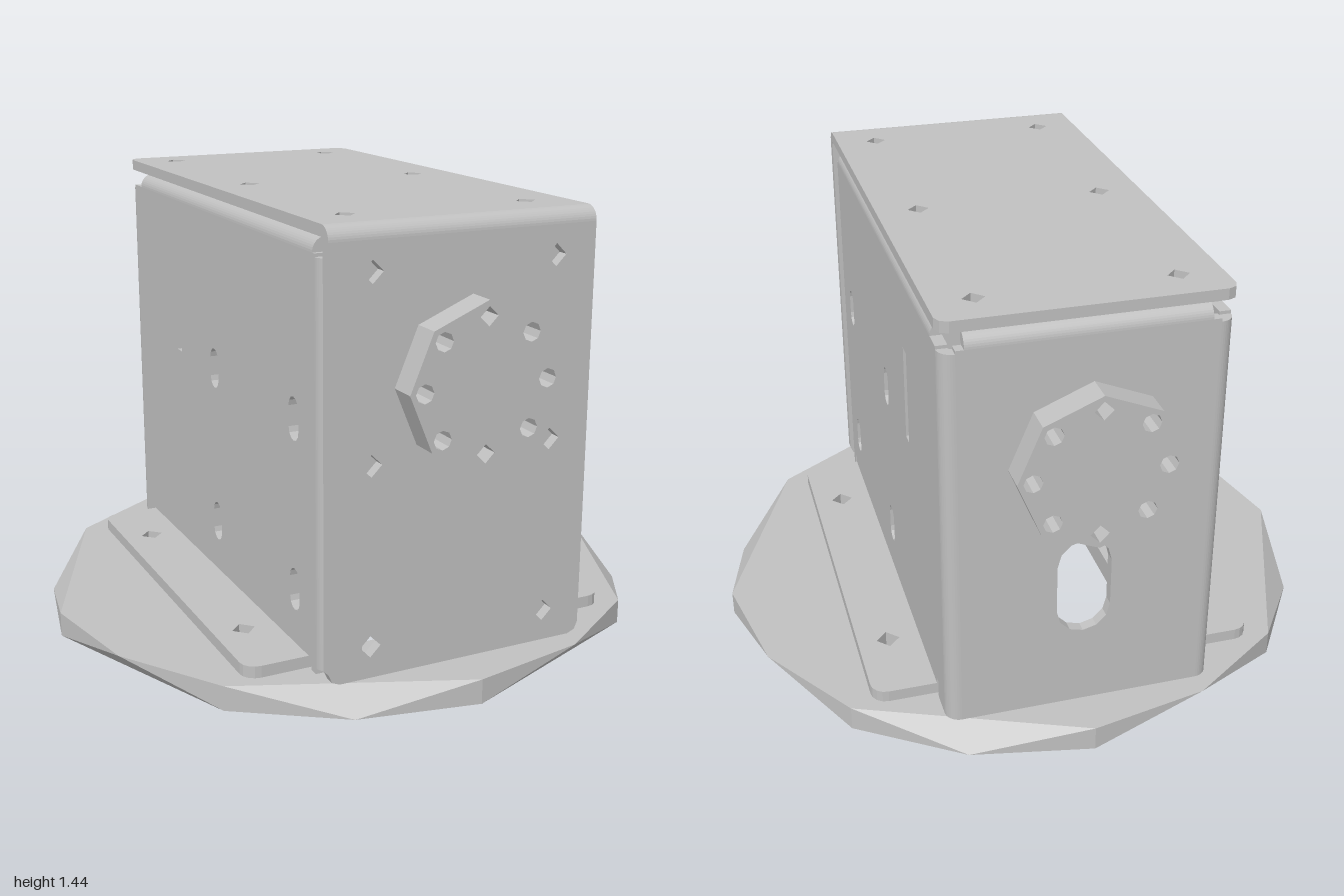
import * as THREE from 'three';

const T = 0.035;          // sheet thickness
const R = 0.045, RI = 0.01; // outer and inner bend radius
const HALF = Math.PI / 2;

export function createModel() {
  const model = new THREE.Group();
  const steel = new THREE.MeshStandardMaterial({ color: 0xc0c0c0, side: THREE.DoubleSide });
  steel.name = 'grey steel';

  const add = (name, geo, x = 0, y = 0, z = 0, parent = model) => {
    const m = new THREE.Mesh(geo, steel);
    m.name = name;
    m.position.set(x, y, z);
    parent.add(m);
    return m;
  };
  const group = (name) => {
    const g = new THREE.Group();
    g.name = name;
    model.add(g);
    return g;
  };

  // Outline helpers: all return lists of [u, v] points
  const ngon = (cx, cy, r, n = 4, turn = 0) => Array.from({ length: n }, (_, i) => {
    const a = turn + (i / n) * Math.PI * 2;
    return [cx + r * Math.cos(a), cy + r * Math.sin(a)];
  });
  const rect = (x0, y0, x1, y1) => [[x0, y0], [x1, y0], [x1, y1], [x0, y1]];
  const slot = (cx, cy, w, h) => {
    const r = w / 2, pts = [];
    for (let i = 0; i <= 6; i++) pts.push([cx + r * Math.cos(i * Math.PI / 6), cy + h / 2 - r + r * Math.sin(i * Math.PI / 6)]);
    for (let i = 6; i <= 12; i++) pts.push([cx + r * Math.cos(i * Math.PI / 6), cy - h / 2 + r + r * Math.sin(i * Math.PI / 6)]);
    return pts;
  };
  const vec = (pts) => pts.map(([a, b]) => new THREE.Vector2(a, b));
  const shapeOf = (pts, holes = []) => {
    const s = new THREE.Shape(vec(pts));
    s.holes = holes.map((h) => new THREE.Path(vec(h)));
    return s;
  };
  const plate = (pts, holes = [], t = T) =>
    new THREE.ExtrudeGeometry(shapeOf(pts, holes), { depth: t, bevelEnabled: false });
  // Quarter-round sheet bend in the +x +y quadrant, running along z
  const bend = (length) => {
    const s = new THREE.Shape();
    s.absarc(0, 0, R, 0, HALF, false);
    s.absarc(0, 0, RI, HALF, 0, true);
    return new THREE.ExtrudeGeometry(s, { depth: length, bevelEnabled: false, curveSegments: 5 })
      .translate(0, 0, -length / 2);
  };

  // Round base: the rim twists between two twelve-sided outlines
  const H = 0.08;
  const base = group('base');
  const a = 0.32, b = 0.62, k = 0.035;
  const opening = [
    [a - k, b], [a, b + k], [a + k, b], [a, b - k],
    [a, k - b], [a + k, -b], [a, -b - k], [a - k, -b],
    [k - a, -b], [-a, -b - k], [-a - k, -b], [-a, k - b],
    [-a, b - k], [-a - k, b], [-a, b + k], [k - a, b],
  ];
  const baseHoles = [opening];
  for (const x of [-0.535, 0.535]) for (const s of [-1, 1]) {
    baseHoles.push(ngon(x, s * 0.445, 0.038), ngon(x, s * 0.35, 0.03));
  }
  const ring = (skip) => {
    const pts = [];
    for (let i = 0; i < 16; i++) if (i % 4 !== skip) pts.push([Math.cos(i * Math.PI / 8), Math.sin(i * Math.PI / 8)]);
    return pts;
  };
  const flip = (pts) => pts.map(([x, z]) => [x, -z]);
  add('baseTop', new THREE.ShapeGeometry(shapeOf(flip(ring(1)), baseHoles.map(flip))).rotateX(-HALF), 0, H, 0, base);
  add('baseUnderside', new THREE.ShapeGeometry(shapeOf(ring(3), baseHoles)).rotateX(HALF), 0, 0, 0, base);
  const facets = (pos) => {
    const g = new THREE.BufferGeometry();
    g.setAttribute('position', new THREE.Float32BufferAttribute(pos, 3));
    g.computeVertexNormals();
    return g;
  };
  const rim = [];
  for (let q = 0; q < 4; q++) {
    const p = (i, y) => {
      const t = (q * 4 + i) * Math.PI / 8;
      return [Math.cos(t), y, Math.sin(t)];
    };
    const top = (i) => p(i, H), low = (i) => p(i, 0);
    rim.push(
      ...top(0), ...top(2), ...low(1), ...top(0), ...low(1), ...low(0),
      ...top(2), ...low(2), ...low(1), ...top(2), ...top(3), ...low(2),
      ...top(3), ...low(4), ...low(2), ...top(3), ...top(4), ...low(4));
  }
  add('baseRim', facets(rim), 0, 0, 0, base);
  const walls = [];
  for (const h of baseHoles) h.forEach(([x0, z0], i) => {
    const [x1, z1] = h[(i + 1) % h.length];
    // the opening runs clockwise, the bolt holes anticlockwise
    const [xa, za, xb, zb] = h === opening ? [x1, z1, x0, z0] : [x0, z0, x1, z1];
    walls.push(xa, 0, za, xb, 0, zb, xb, H, zb, xa, 0, za, xb, H, zb, xa, H, za);
  });
  add('baseHoleWalls', facets(walls), 0, 0, 0, base);

  // Side walls with bolt slots, folded lips and mounting flanges (u = -z, v = y)
  const body = group('body');
  const W = 0.43, Y1 = 1.35;
  const sideOutline = [
    [-0.755, H], [-0.725, H], [-0.725, 0.14], [-0.705, 0.14], [-0.705, H],
    [0.705, H], [0.705, 0.14], [0.725, 0.14], [0.725, H], [0.805, H],
    [0.805, Y1], [-0.755, Y1],
  ];
  const sideHoles = [rect(0.35, 0.82, 0.395, 1.13)];
  for (const u of [-0.605, 0.035]) for (const y of [0.295, 0.835]) sideHoles.push(slot(u, y, 0.07, 0.135));
  for (const s of [-1, 1]) {
    const side = s > 0 ? 'left' : 'right';
    add(side + 'Wall', plate(sideOutline, sideHoles).rotateY(HALF), s > 0 ? W - T : -W, 0, 0, body);

    // bends at the top, front and back edges
    const bx = s * (W - R);
    add(side + 'TopBend', bend(1.48).rotateZ(s > 0 ? 0 : HALF), bx, Y1, 0, body);
    add(side + 'FrontBend', bend(1.24).rotateX(-HALF).rotateY(s > 0 ? -HALF : Math.PI), bx, 0.72, 0.755, body);
    add(side + 'BackBend', bend(1.26).rotateX(-HALF).rotateY(s > 0 ? 0 : HALF), bx, 0.71, -0.805, body);

    // inward lips behind the cover
    add(side + 'TopLip', new THREE.BoxGeometry(0.085, T, 1.48), s * 0.3425, 1.3775, 0, body);
    add(side + 'FrontLip', new THREE.BoxGeometry(0.085, 1.24, T), s * 0.3425, 0.72, 0.7825, body);

    // mounting flange with rounded outer corners
    const c = 0.05, x1 = 0.635, zf = 0.705, pts = [[W - T, -zf]];
    for (let i = 0; i <= 4; i++) pts.push([x1 - c + c * Math.sin(i * HALF / 4), -zf + c - c * Math.cos(i * HALF / 4)]);
    for (let i = 0; i <= 4; i++) pts.push([x1 - c + c * Math.cos(i * HALF / 4), zf - c + c * Math.sin(i * HALF / 4)]);
    pts.push([W - T, zf]);
    const flange = plate(pts, [ngon(0.535, 0.445, 0.038), ngon(0.535, -0.445, 0.038)], 0.038).rotateX(-HALF);
    if (s < 0) flange.rotateY(Math.PI);
    add(side + 'Flange', flange, 0, H, 0, body);
  }

  // Back wall with cable slot and its top lip
  add('backWall', plate(rect(R - W, H, W - R, Y1), [slot(0, 0.51, 0.17, 0.33), ngon(0, 0.74, 0.014, 6)]), 0, 0, -0.85, body);
  add('backTopBend', bend(0.72).rotateY(HALF), 0, Y1, -0.805, body);
  add('backTopLip', new THREE.BoxGeometry(0.59, T, 0.145), 0, 1.3775, -0.7325, body);

  // Folded cover: top sheet, front bend and front sheet
  const cover = group('cover');
  const C = 0.435, n = 0.035;
  const screws = (vs) => vs.flatMap((v) => [ngon(-0.3, v, 0.034), ngon(0.3, v, 0.034)]);
  add('coverTop', plate(
    [[-C, -0.81], [C, -0.81], [C, 0.85 - n], [C - n * 0.3, 0.85 - n * 0.3], [C - n, 0.85],
      [n - C, 0.85], [n * 0.3 - C, 0.85 - n * 0.3], [-C, 0.85 - n]],
    screws([-0.68, 0.02, 0.72])).rotateX(-HALF), 0, 1.405, 0, cover);
  add('coverBend', bend(2 * C).rotateY(-HALF), 0, 1.395, 0.81, cover);
  add('coverFront', plate(
    [[n - C, 0.085], [C - n, 0.085], [C - n * 0.3, 0.085 + n * 0.3], [C, 0.085 + n], [C, 1.395],
      [-C, 1.395], [-C, 0.085 + n], [n * 0.3 - C, 0.085 + n * 0.3]],
    screws([0.185, 0.745, 1.305])), 0, 0, 0.82, cover);

  // Shaft through the housing with a drilled octagonal hub at each end
  const drive = group('drive');
  const axisY = 0.977;
  const shaft = new THREE.CylinderGeometry(0.058, 0.058, 1.8, 8).toNonIndexed();
  shaft.computeVertexNormals();
  add('shaft', shaft.rotateX(HALF), 0, axisY, 0, drive);
  const bolts = ngon(0, 0, 0.2, 8).map(([x, y], i) => ngon(x, y, 0.029, i % 4 === 2 ? 4 : 8));
  const hub = plate(ngon(0, 0, 0.247, 8), bolts, 0.09);
  add('frontHub', hub, 0, axisY, 0.89, drive);
  add('backHub', hub, 0, axisY, -0.975, drive);

  return model;
}
